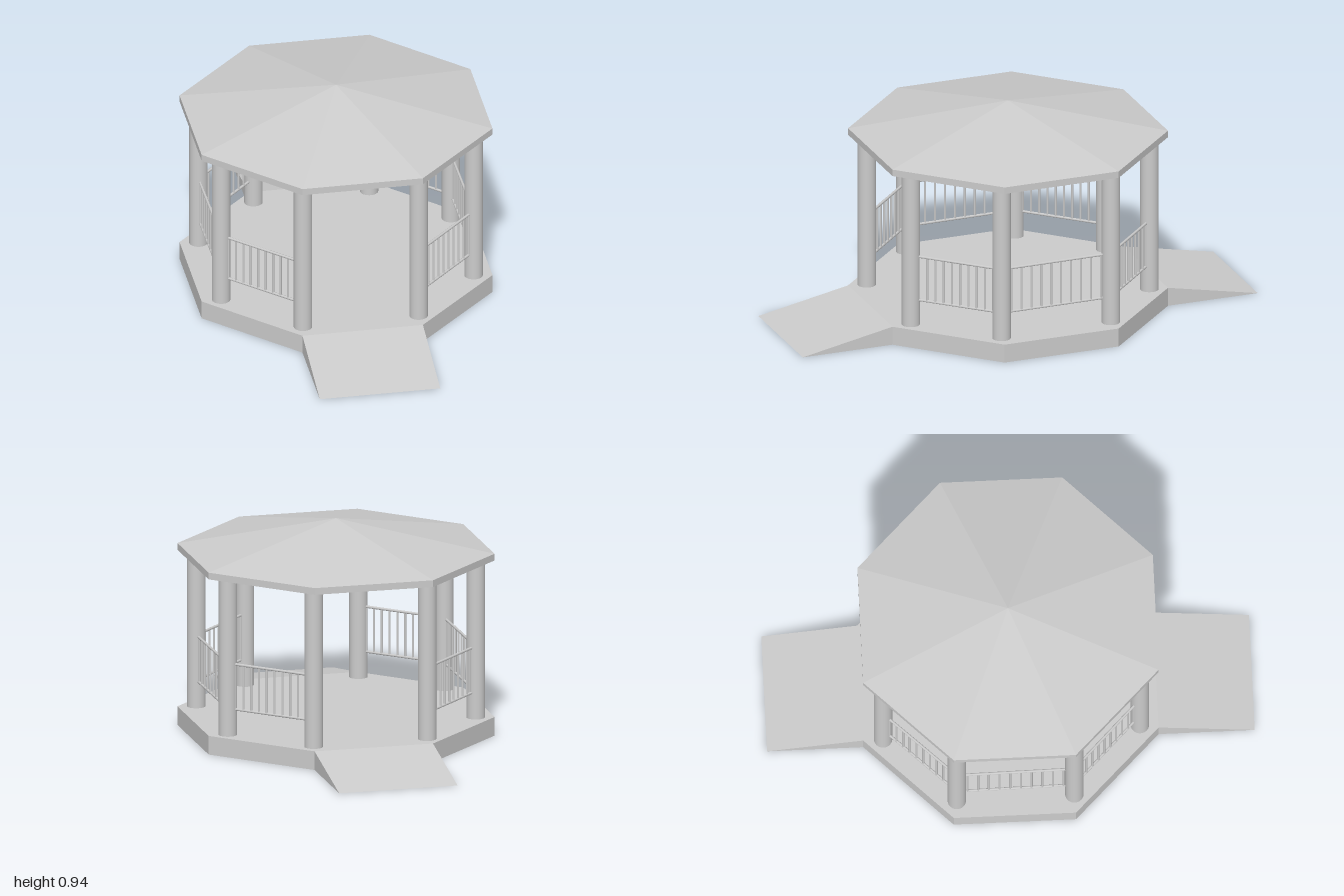
import * as THREE from 'three';

const DEG = Math.PI / 180;
const RADIUS = 0.69;          // octagon corner radius of deck and roof
const FIRST_CORNER = 14.6;    // bearing of the first corner, from +x towards +z
const DECK_TOP = 0.083, EAVE_BOTTOM = 0.78, EAVE_TOP = 0.81, APEX = 0.945;

export function createModel() {
  const model = new THREE.Group();
  model.name = 'gazebo';
  const flat = new THREE.MeshStandardMaterial({ color: 0xcccccc, flatShading: true });
  const smooth = new THREE.MeshStandardMaterial({ color: 0xcccccc });

  const add = (name, geometry, material, parent = model) => {
    const mesh = new THREE.Mesh(geometry, material);
    mesh.name = name;
    parent.add(mesh);
    return mesh;
  };

  // Eight-sided prism or pyramid between two heights
  const octagon = (name, topRadius, y0, y1, open = false) => {
    const start = (90 - FIRST_CORNER) * DEG;
    const g = new THREE.CylinderGeometry(topRadius, RADIUS, y1 - y0, 8, 1, open, start);
    add(name, g.translate(0, (y0 + y1) / 2, 0), flat);
  };
  octagon('deck', RADIUS, 0, DECK_TOP);
  octagon('eave', RADIUS, EAVE_BOTTOM, EAVE_TOP);
  octagon('roof', 0, EAVE_TOP, APEX, true);

  // Wedge ramps on two opposite sides
  const apothem = RADIUS * Math.cos(22.5 * DEG);
  const width = 2 * RADIUS * Math.sin(22.5 * DEG);
  const wedge = new THREE.Shape([
    new THREE.Vector2(apothem, 0),
    new THREE.Vector2(apothem + 0.415, 0),
    new THREE.Vector2(apothem, DECK_TOP),
  ]);
  const rampGeometry = new THREE.ExtrudeGeometry(wedge, { depth: width, bevelEnabled: false });
  rampGeometry.translate(0, 0, -width / 2);
  for (const side of [2, 6]) {
    const ramp = add('ramp', rampGeometry, flat);
    ramp.rotation.y = -(FIRST_CORNER + 22.5 + side * 45) * DEG;
  }

  // Columns, slightly wider apart on every other side
  const columnHeight = EAVE_BOTTOM - DECK_TOP;
  const columnGeometry = new THREE.CylinderGeometry(0.04, 0.04, columnHeight, 32);
  const spots = [];
  for (let i = 0; i < 8; i++) {
    const a = ((i % 2 ? 61 : 11.8) + Math.floor(i / 2) * 90) * DEG;
    const spot = new THREE.Vector3(0.61 * Math.cos(a), 0, 0.61 * Math.sin(a));
    spots.push(spot);
    add('column', columnGeometry, smooth)
      .position.set(spot.x, DECK_TOP + columnHeight / 2, spot.z);
  }

  // Railings on the six sides without a ramp
  const LOW = 0.2, HIGH = 0.4, GAPS = 11;
  const balusterGeometry = new THREE.CylinderGeometry(0.005, 0.005, HIGH - LOW, 8);
  for (let i = 0; i < 8; i++) {
    if (i === 2 || i === 6) continue;
    const a = spots[i], b = spots[(i + 1) % 8];
    const length = a.distanceTo(b);
    const railing = new THREE.Group();
    railing.name = 'railing';
    railing.position.addVectors(a, b).multiplyScalar(0.5);
    railing.rotation.y = -Math.atan2(b.z - a.z, b.x - a.x);
    model.add(railing);

    const railGeometry = new THREE.CylinderGeometry(0.006, 0.006, length, 8).rotateZ(Math.PI / 2);
    for (const y of [LOW, HIGH]) add('rail', railGeometry, smooth, railing).position.y = y;
    for (let k = 1; k < GAPS; k++) {
      add('baluster', balusterGeometry, smooth, railing)
        .position.set((k / GAPS - 0.5) * length, (LOW + HIGH) / 2, 0);
    }
  }
  return model;
}
